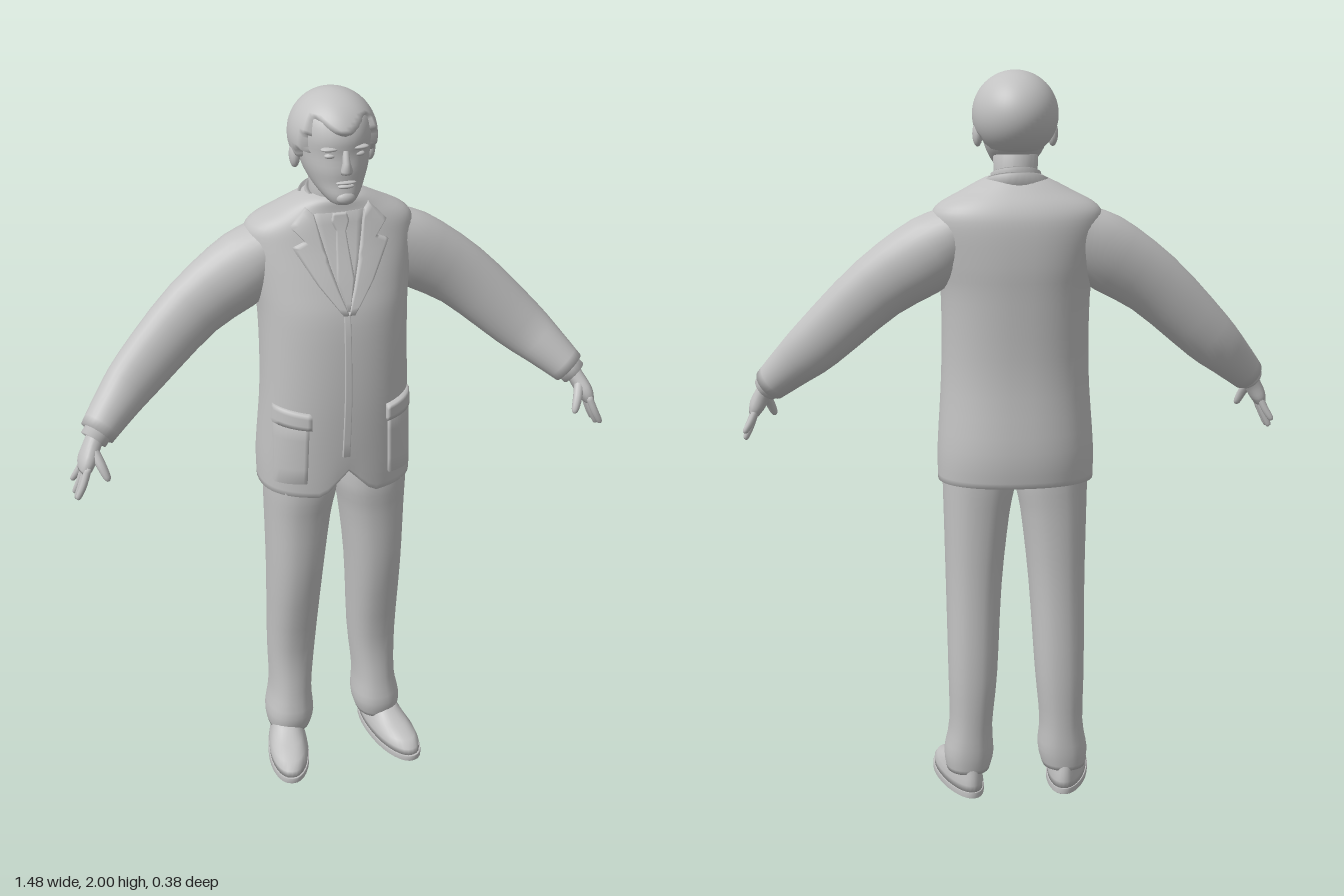
import * as THREE from 'three';

const grey = new THREE.MeshStandardMaterial({ color: 0xc2c2c2 });
grey.name = 'plain grey';
const UP = new THREE.Vector3(0, 1, 0), DOWN = new THREE.Vector3(0, -1, 0), Z = new THREE.Vector3(0, 0, 1);

// Catmull-Rom refinement of a list of number rows
function smooth(rows, k = 3) {
  const out = [], at = i => rows[Math.max(0, Math.min(rows.length - 1, i))];
  for (let i = 0; i < rows.length - 1; i++)
    for (let j = 0; j < k; j++) {
      const t = j / k;
      out.push(at(i).map((p, c) => {
        const a = at(i - 1)[c], b = at(i + 1)[c], d = at(i + 2)[c];
        return p + 0.5 * t * (b - a + t * (2 * a - 5 * p + 4 * b - d + t * (3 * (p - b) + d - a)));
      }));
    }
  out.push(rows[rows.length - 1]);
  return out;
}

function geometryFrom(pos, idx) {
  const g = new THREE.BufferGeometry();
  g.setAttribute('position', new THREE.Float32BufferAttribute(pos, 3));
  g.setIndex(idx);
  g.computeVertexNormals();
  return g;
}

// Capped loft through stations [x, y, z, radiusAcross, radiusDeep]; n sets squareness
function loft(st, { dir = null, n = 2, seg = 24 } = {}) {
  const pos = [], idx = [], c = st.map(s => new THREE.Vector3(s[0], s[1], s[2]));
  st.forEach((s, i) => {
    const d = dir || c[Math.min(i + 1, c.length - 1)].clone().sub(c[Math.max(i - 1, 0)]).normalize();
    const u = Z.clone().cross(d).normalize(), v = d.clone().cross(u);
    for (let j = 0; j < seg; j++) {
      const a = j / seg * Math.PI * 2, f = t => Math.sign(t) * Math.abs(t) ** (2 / n);
      const p = c[i].clone().addScaledVector(u, s[3] * f(Math.cos(a))).addScaledVector(v, s[4] * f(Math.sin(a)));
      pos.push(p.x, p.y, p.z);
    }
  });
  const L = st.length - 1, start = st.length * seg;
  pos.push(...c[0].toArray(), ...c[L].toArray());
  for (let j = 0; j < seg; j++) {
    const k = (j + 1) % seg;
    for (let i = 0; i < L; i++) {
      const a = i * seg + j, b = i * seg + k;
      idx.push(a, b, b + seg, a, b + seg, a + seg);
    }
    idx.push(start, k, j, start + 1, L * seg + j, L * seg + k);
  }
  return geometryFrom(pos, idx);
}

// Moves every vertex by a rule
function bend(g, rule) {
  const p = g.attributes.position, v = new THREE.Vector3();
  for (let i = 0; i < p.count; i++) {
    rule(v.fromBufferAttribute(p, i));
    p.setXYZ(i, v.x, v.y, v.z);
  }
  g.computeVertexNormals();
  return g;
}

// Row [y, halfWidth, front, back] to a loft station
const slice = ([y, hx, zf, zb]) => [0, y, (zf + zb) / 2, hx, (zf - zb) / 2];

const TORSO = smooth([
  [0.905, 0.212, 0.13, -0.18], [1.0, 0.212, 0.135, -0.187], [1.2, 0.2, 0.14, -0.172], [1.4, 0.2, 0.127, -0.18],
  [1.5, 0.212, 0.1, -0.187], [1.6, 0.228, 0.062, -0.185], [1.65, 0.215, 0.045, -0.17], [1.69, 0.145, 0.035, -0.14],
  [1.72, 0.085, 0.03, -0.112], [1.73, 0.05, 0.01, -0.09],
].map(slice), 4);
const TORSO_N = 2.3;

// Depth of the jacket front at (x, y)
function frontZ(x, y) {
  let i = 0;
  while (i < TORSO.length - 2 && TORSO[i + 1][1] < y) i++;
  const a = TORSO[i], b = TORSO[i + 1], t = THREE.MathUtils.clamp((y - a[1]) / (b[1] - a[1]), 0, 1);
  const [, , cz, hx, rz] = a.map((p, c) => p + (b[c] - p) * t);
  return cz + rz * (1 - Math.min(0.985, Math.abs(x) / hx) ** TORSO_N) ** (1 / TORSO_N);
}

// Raised cloth panel following the jacket front; rows [xLeft, yLeft, xRight, yRight] from bottom to top
function panel(rows, off, side = 1) {
  const fine = [], K = 4, C = 8, pos = [], idx = [];
  rows.slice(0, -1).forEach((r, i) => {
    for (let k = 0; k < K; k++) fine.push(r.map((p, c) => p + (rows[i + 1][c] - p) * k / K));
  });
  fine.push(rows[rows.length - 1]);
  const all = [fine[0], ...fine, fine[fine.length - 1]];
  all.forEach((r, i) => {
    const [xl, yl, xr, yr] = side > 0 ? r : [-r[2], r[3], -r[0], r[1]];
    for (let j = 0; j <= C + 2; j++) {
      const t = THREE.MathUtils.clamp((j - 1) / C, 0, 1), x = xl + (xr - xl) * t, y = yl + (yr - yl) * t;
      const edge = i === 0 || i === all.length - 1 || j === 0 || j === C + 2;
      pos.push(x, y, frontZ(x, y) + (edge ? -0.004 : off));
      if (i && j) {
        const w = C + 3, d = i * w + j, a = d - w - 1;
        idx.push(a, a + 1, d, a, d, d - 1);
      }
    }
  });
  return geometryFrom(pos, idx);
}

function ellipsoid(x, y, z, rx, ry, rz) {
  return new THREE.SphereGeometry(1, 16, 12).scale(rx, ry, rz).translate(x, y, z);
}

export function createModel() {
  const model = new THREE.Group();
  model.name = 'man in suit';
  const add = (name, geo) => {
    const m = new THREE.Mesh(geo, grey);
    m.name = name;
    model.add(m);
    return m;
  };

  // Jacket body, hollow at the hem and cut away at the front opening
  const body = loft([[0, 1.0, -0.02, 0.18, 0.13], [0, 0.907, -0.025, 0.206, 0.149], ...TORSO], { dir: UP, n: TORSO_N, seg: 56 });
  add('jacket', bend(body, v => {
    if (v.z > 0 && v.y < 1.05) v.y += 0.075 * Math.max(0, 1 - Math.abs(v.x) / 0.07) * (1.05 - v.y) / 0.145;
  }));
  add('jacketOpening', panel([[-0.02, 1.03, 0.0, 1.03], [-0.015, 1.2, 0.004, 1.2], [-0.012, 1.44, 0.005, 1.44]], 0.006));

  // Shirt front and tie
  add('shirtFront', panel([[-0.005, 1.45, 0.005, 1.45], [-0.045, 1.58, 0.045, 1.58], [-0.065, 1.69, 0.065, 1.69]], 0.003));
  add('tie', panel([[-0.003, 1.45, 0.003, 1.45], [-0.023, 1.53, 0.023, 1.53], [-0.012, 1.645, 0.012, 1.645],
    [-0.023, 1.67, 0.023, 1.67], [-0.018, 1.69, 0.018, 1.69]], 0.011));

  // Collars slope down from the nape to the throat
  const slope = v => { v.y -= (v.z + 0.11) * 0.32; };
  add('jacketCollar', bend(loft([[0, 1.69, -0.043, 0.1, 0.085], [0, 1.735, -0.043, 0.086, 0.076], [0, 1.74, -0.043, 0.078, 0.07],
    [0, 1.715, -0.043, 0.07, 0.062]], { dir: UP, seg: 32 }), slope));
  add('shirtCollar', bend(loft([[0, 1.7, -0.038, 0.075, 0.07], [0, 1.755, -0.036, 0.067, 0.065], [0, 1.758, -0.036, 0.06, 0.06],
    [0, 1.74, -0.036, 0.055, 0.055]], { dir: UP, seg: 32 }), slope));
  add('neck', loft([[0, 1.66, -0.035, 0.06, 0.062], [0, 1.73, -0.035, 0.058, 0.06], [0, 1.82, -0.03, 0.062, 0.065]], { dir: UP }));

  // Head
  add('head', loft(smooth([
    [1.727, 0.012, 0.08, 0.05], [1.733, 0.032, 0.095, 0.02], [1.755, 0.053, 0.102, -0.04], [1.785, 0.072, 0.098, -0.095],
    [1.82, 0.085, 0.1, -0.125], [1.86, 0.092, 0.096, -0.14], [1.9, 0.095, 0.098, -0.145], [1.94, 0.09, 0.083, -0.14],
    [1.97, 0.068, 0.055, -0.115], [1.985, 0.035, 0.02, -0.07]].map(slice)), { dir: UP, n: 2.15, seg: 32 }));

  // Hair: a cap drawn inside the head below the hairline
  const hair = new THREE.SphereGeometry(1, 48, 40);
  add('hair', bend(hair, v => {
    const z = -0.025 + 0.135 * v.z, y = 1.885 + 0.115 * v.y;
    const line = z > 0.055 ? 1.915 + 0.12 * v.x * v.x : z > 0.01 ? 1.86 : z > -0.05 ? 1.835 : 1.785;
    const k = 1 - 0.22 * THREE.MathUtils.smoothstep(line - y, -0.006, 0.012);
    const lock = 1 + 0.012 * Math.sin(v.x * 9 + v.y * 4) * Math.max(0, v.z);
    v.set(0.114 * v.x * k, 1.885 + 0.115 * v.y * k, -0.025 + 0.135 * v.z * k * lock);
  }));

  // Face
  add('nose', loft([[0, 1.875, 0.092, 0.008, 0.008], [0, 1.845, 0.099, 0.01, 0.013], [0, 1.825, 0.104, 0.016, 0.016],
    [0, 1.815, 0.098, 0.014, 0.012]], { dir: DOWN, seg: 14 }));
  add('upperLip', ellipsoid(0, 1.792, 0.097, 0.027, 0.005, 0.01));
  add('lowerLip', ellipsoid(0, 1.782, 0.096, 0.022, 0.006, 0.01));
  add('chin', ellipsoid(0, 1.75, 0.092, 0.025, 0.018, 0.016));

  for (const s of [1, -1]) {
    const side = s > 0 ? 'left' : 'right';
    const flip = rows => rows.map(([x, ...r]) => [s * x, ...r]);
    add(side + 'Brow', ellipsoid(s * 0.038, 1.879, 0.084, 0.025, 0.006, 0.014));
    add(side + 'Eye', ellipsoid(s * 0.037, 1.861, 0.082, 0.016, 0.007, 0.011));
    add(side + 'Ear', ellipsoid(s * 0.1, 1.835, -0.025, 0.014, 0.034, 0.022).rotateX(0));

    // Lapel and pocket with flap
    add(side + 'Lapel', panel([[0, 1.44, 0.015, 1.44], [0.02, 1.5, 0.075, 1.52], [0.04, 1.57, 0.128, 1.61],
      [0.043, 1.585, 0.095, 1.625], [0.047, 1.6, 0.128, 1.66], [0.068, 1.69, 0.085, 1.705]], 0.012, s));
    add(side + 'Pocket', panel([[0.115, 0.955, 0.192, 0.945], [0.11, 1.13, 0.19, 1.13]], 0.011, s));
    add(side + 'PocketFlap', panel([[0.105, 1.122, 0.193, 1.125], [0.105, 1.165, 0.19, 1.175]], 0.018, s));

    // Sleeve, cuff and hand
    add(side + 'Sleeve', loft(smooth(flip([[0.13, 1.61, -0.065, 0.06, 0.08], [0.22, 1.535, -0.063, 0.1, 0.085],
      [0.37, 1.435, -0.05, 0.09, 0.064], [0.53, 1.285, -0.018, 0.076, 0.055], [0.6, 1.22, 0.015, 0.062, 0.052],
      [0.662, 1.16, 0.053, 0.048, 0.047]])), { seg: 28 }));
    add(side + 'Cuff', loft(flip([[0.645, 1.177, 0.045, 0.038, 0.038], [0.674, 1.147, 0.062, 0.037, 0.038]])));
    add(side + 'Palm', loft(smooth(flip([[0.66, 1.165, 0.055, 0.024, 0.026], [0.68, 1.135, 0.07, 0.022, 0.03],
      [0.698, 1.1, 0.083, 0.022, 0.04], [0.708, 1.075, 0.086, 0.015, 0.036]])), { n: 2.4 }));
    for (let k = 0; k < 4; k++) {
      const z = 0.058 + k * 0.019, drop = [0.055, 0.078, 0.08, 0.068][k];
      add(side + 'Finger', loft(smooth(flip([[0.7, 1.095, z, 0.01, 0.01], [0.716, 1.09 - drop * 0.55, z - 0.006 + k * 0.005, 0.01, 0.01],
        [0.732, 1.088 - drop, z - 0.012 + k * 0.008, 0.008, 0.007], [0.735, 1.082 - drop, z - 0.013 + k * 0.008, 0.003, 0.003]])), { seg: 10 }));
    }
    add(side + 'Thumb', loft(smooth(flip([[0.682, 1.135, 0.085, 0.014, 0.014], [0.667, 1.1, 0.115, 0.013, 0.013],
      [0.655, 1.068, 0.13, 0.01, 0.01], [0.652, 1.058, 0.133, 0.004, 0.004]])), { seg: 10 }));

    // Trouser leg
    add(side + 'TrouserLeg', loft(smooth(flip([[0.1, 1.03, -0.015, 0.098, 0.115], [0.099, 0.9, -0.012, 0.1, 0.118],
      [0.107, 0.8, -0.015, 0.09, 0.11], [0.116, 0.6, -0.02, 0.077, 0.1], [0.122, 0.35, -0.045, 0.068, 0.08],
      [0.128, 0.2, -0.04, 0.06, 0.08], [0.133, 0.115, -0.033, 0.069, 0.085], [0.136, 0.065, -0.035, 0.06, 0.076]])),
    { dir: DOWN, n: 2.3, seg: 28 }));

    // Shoe, turned outward, with a flat sole
    const shoeForm = rows => loft(rows.map(slice), { dir: UP, n: 2.3, seg: 32 });
    const taper = v => { v.x *= 0.86 + 0.14 * Math.cos((v.z - 0.12) * 9); };
    const shoe = add(side + 'Shoe', bend(shoeForm([[0.015, 0.056, 0.222, -0.09], [0.035, 0.057, 0.218, -0.09], [0.052, 0.053, 0.195, -0.088],
      [0.066, 0.048, 0.14, -0.085], [0.085, 0.045, 0.085, -0.08], [0.11, 0.042, 0.06, -0.075]]), taper));
    const sole = add(side + 'Sole', bend(shoeForm([[0, 0.058, 0.226, -0.093], [0.001, 0.06, 0.228, -0.094], [0.016, 0.06, 0.228, -0.094],
      [0.017, 0.058, 0.226, -0.093]]), taper));
    for (const m of [shoe, sole]) {
      m.position.set(s * 0.143, 0, -0.032);
      m.rotation.y = s * 0.19;
    }
  }
  return model;
}
